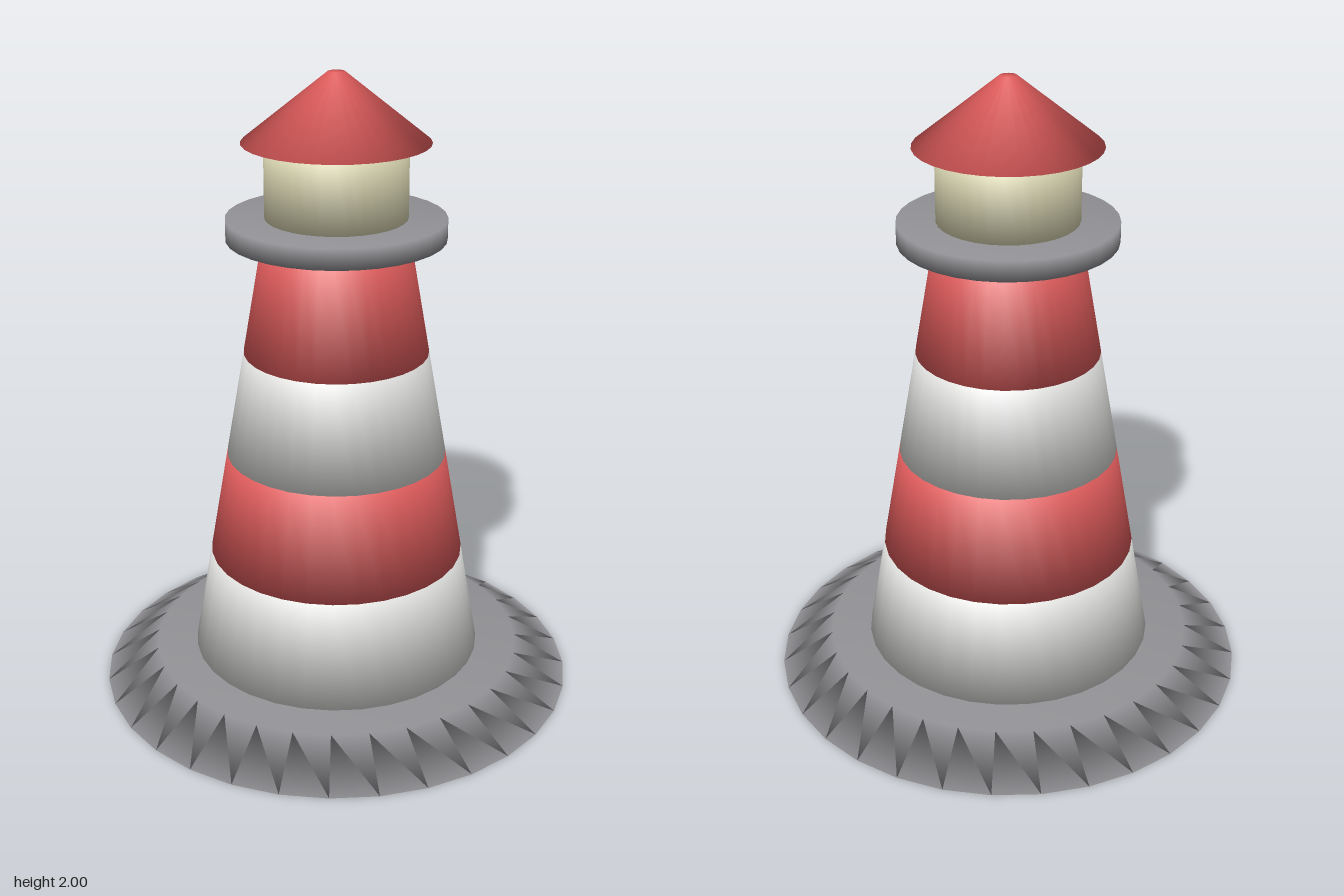
import * as THREE from 'three';

const SEGMENTS = 32;

function material(name, color) {
  const m = new THREE.MeshStandardMaterial({ color });
  m.name = name;
  return m;
}

// Closed, smooth-shaded truncated cone from y0 to y1
function frustum(name, r0, y0, r1, y1, mat) {
  const profile = [[0, y0], [r0, y0], [r1, y1], [0, y1]].map(([r, y]) => new THREE.Vector2(r, y));
  const mesh = new THREE.Mesh(new THREE.LatheGeometry(profile, SEGMENTS), mat);
  mesh.name = name;
  return mesh;
}

export function createModel() {
  const red = material('red', 0xdc5a5a);
  const white = material('white', 0xdededc);
  const grey = material('stone grey', 0x929296);
  const cream = material('cream', 0xdcd8b4);

  const model = new THREE.Group();
  model.name = 'lighthouse';

  // Sloped stone base
  model.add(frustum('base', 0.77, 0, 0.6, 0.105, grey));

  // Tapering tower of four alternating bands
  const tower = new THREE.Group();
  tower.name = 'tower';
  const bands = 4, bottom = 0.105, top = 1.467;
  const radiusAt = (t) => THREE.MathUtils.lerp(0.47, 0.232, t);
  const heightAt = (t) => THREE.MathUtils.lerp(bottom, top, t);
  for (let i = 0; i < bands; i++) {
    const a = i / bands, b = (i + 1) / bands;
    tower.add(frustum(`band${i + 1}`, radiusAt(a), heightAt(a), radiusAt(b), heightAt(b), i % 2 ? red : white));
  }
  model.add(tower);

  // Gallery, lantern room and roof
  model.add(frustum('gallery', 0.34, 1.495, 0.34, 1.56, grey));
  model.add(frustum('lanternRoom', 0.22, 1.56, 0.22, 1.79, cream));
  model.add(frustum('roof', 0.288, 1.79, 0.026, 2, red));

  return model;
}
